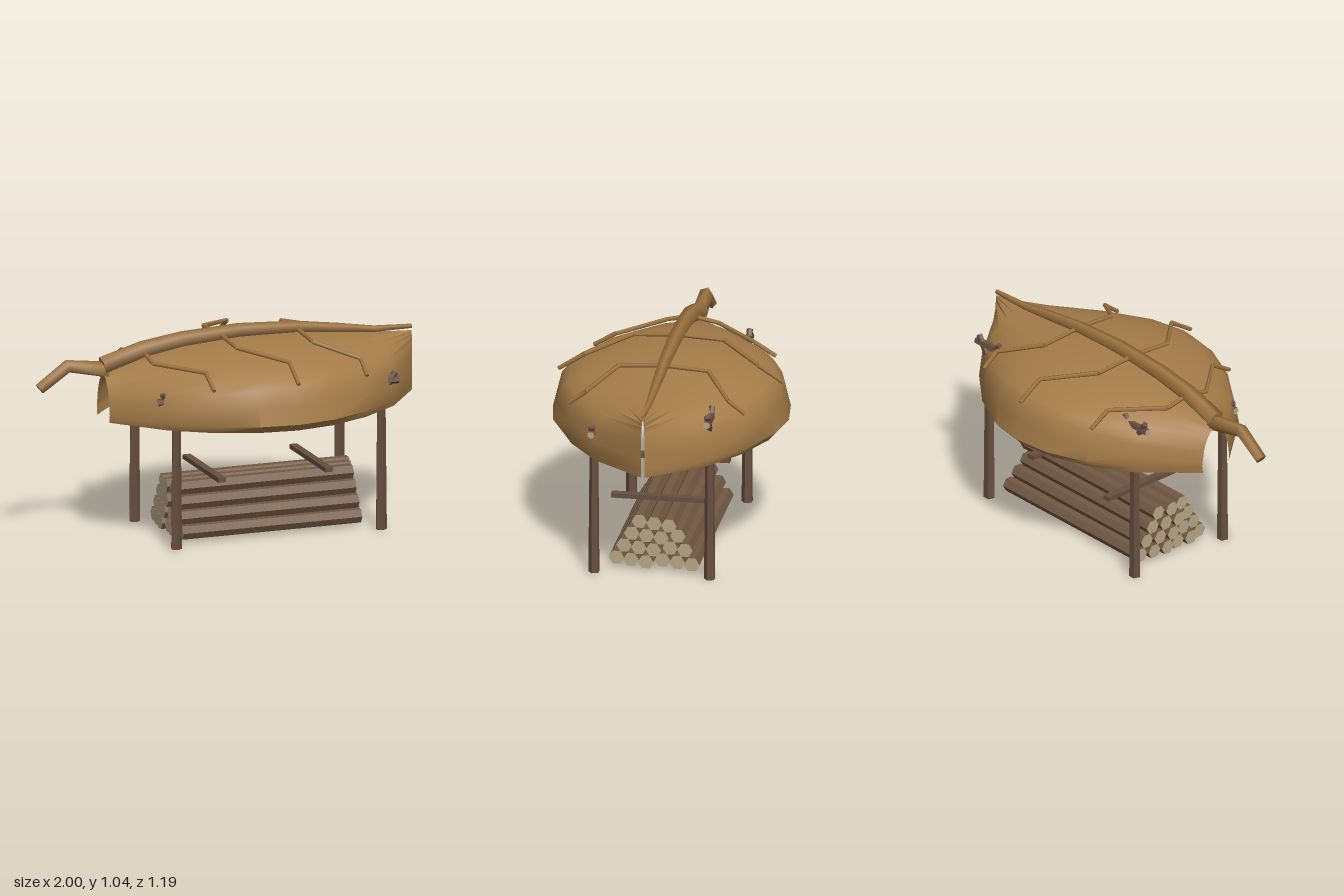
import * as THREE from 'three';
import { toCreasedNormals } from 'three/addons/utils/BufferGeometryUtils.js';

const flat = (name, color, extra = {}) => {
  const m = new THREE.MeshStandardMaterial({ color, ...extra });
  m.name = name;
  return m;
};

export function createModel() {
  const root = new THREE.Group();
  root.name = 'leafRoofedWoodStore';
  const leaf = flat('leaf brown', 0xa57c49, { side: THREE.DoubleSide });
  const vein = flat('vein brown', 0x9f7541);
  const post = flat('post brown', 0x674f40, { flatShading: true });
  const bark = flat('bark brown', 0x725944, { flatShading: true });
  const cut = flat('cut wood', 0xb8a685, { flatShading: true });

  const add = (name, geo, mat, parent = root) => {
    const m = new THREE.Mesh(geo, mat);
    m.name = name;
    parent.add(m);
    return m;
  };

  // Straight five-sided rod between two points
  const rod = (name, a, b, r0, r1, mats, parent = root, turn = 0) => {
    const p = new THREE.Vector3(...a), q = new THREE.Vector3(...b);
    const d = q.clone().sub(p);
    const m = add(name, new THREE.CylinderGeometry(r1, r0, d.length(), 5, 1, false, turn), mats, parent);
    m.position.copy(p).add(q).multiplyScalar(0.5);
    m.quaternion.setFromUnitVectors(new THREE.Vector3(0, 1, 0), d.normalize());
    return m;
  };

  // Tapered five-sided rib along x from rings [x, y, radius, tilt]
  const rib = (name, rings, mat) => {
    const last = rings.length - 1;
    const geo = new THREE.CylinderGeometry(1, 1, 1, 5, last, false, Math.PI).rotateZ(Math.PI / 2);
    const p = geo.attributes.position;
    for (let i = 0; i < p.count; i++) {
      const [x, y, r, tilt = 0] = rings[Math.round((p.getX(i) + 0.5) * last)];
      const h = p.getY(i) * r;
      p.setXYZ(i, x - h * Math.sin(tilt), y + h * Math.cos(tilt), p.getZ(i) * r);
    }
    return add(name, toCreasedNormals(geo, 1.35), mat);
  };

  // Leaf canopy: stations [x, half width, ridge height]
  const stations = [
    [-0.64, 0.09, 0.848], [-0.42, 0.35, 0.914], [-0.22, 0.49, 0.953], [-0.02, 0.57, 0.974], [0.18, 0.595, 0.981],
    [0.38, 0.56, 0.972], [0.59, 0.46, 0.95], [0.8, 0.295, 0.925], [1, 0.01, 0.925],
  ];
  const half = (w, h) => [
    [0.18 * w, h - 0.003], [0.37 * w, h - 0.014], [0.56 * w, h - 0.036], [0.74 * w, h - 0.07],
    [0.86 * w, h - 0.105], [0.925 * w, h - 0.14], [0.963 * w, (h + 0.52) / 2], [w, 0.66], [0.94 * w, 0.622],
  ];
  const verts = [], index = [];
  stations.forEach(([x, w, h]) => {
    const side = half(w, h);
    const section = [...side.map(([z, y]) => [-z, y]).reverse(), [0, h], ...side];
    section.forEach(([z, y]) => verts.push(x, y, z));
  });
  const n = verts.length / 3 / stations.length;
  for (let s = 0; s < stations.length - 1; s++) {
    for (let j = 0; j < n - 1; j++) {
      const a = s * n + j, b = a + n;
      index.push(a, a + 1, b, a + 1, b + 1, b);
    }
  }
  const shell = new THREE.BufferGeometry();
  shell.setAttribute('position', new THREE.Float32BufferAttribute(verts, 3));
  shell.setIndex(index);
  add('leafCanopy', toCreasedNormals(shell, 0.85), leaf);

  // Midrib and bent stem
  rib('midrib', [
    [-0.645, 0.893, 0.047, 0.25], [-0.43, 0.957, 0.045, 0.2], [-0.22, 0.99, 0.042, 0.1], [0.08, 1.008, 0.038],
    [0.38, 0.998, 0.032, -0.1], [0.6, 0.973, 0.026, -0.12], [0.8, 0.948, 0.018, -0.08], [1, 0.945, 0.012],
  ], vein);
  rib('stem', [[-0.978, 0.805, 0.03, 0.66], [-0.83, 0.908, 0.035, 0.22], [-0.62, 0.872, 0.042, -0.18]], vein);

  // Side veins, mirrored across the midrib
  const veins = [
    [[-0.425, 0.945, 0], [-0.425, 0.918, 0.13], [-0.225, 0.904, 0.35], [-0.225, 0.838, 0.46]],
    [[-0.02, 1.0, 0], [-0.02, 0.986, 0.23], [0.185, 0.943, 0.44], [0.185, 0.86, 0.567]],
    [[0.39, 0.99, 0], [0.39, 0.975, 0.225], [0.595, 0.903, 0.36], [0.595, 0.838, 0.445]],
  ];
  for (const s of [1, -1]) {
    for (const path of veins) {
      const g = new THREE.Group();
      g.name = 'sideVein';
      root.add(g);
      const pts = path.map(([x, y, z]) => [x, y, s * z]);
      for (let i = 0; i < 3; i++) rod('veinSegment', pts[i], pts[i + 1], 0.012, 0.011, vein, g);
    }
  }

  // Forked posts carrying one beam on each side
  const wood = [post, cut, cut];
  for (const [z, top] of [[0.293, 0.7], [-0.291, 0.79]]) {
    for (const x of [-0.364, 0.726]) {
      rod('post', [x, 0, z], [x, top, z], 0.0295, 0.0225, post);
      for (const s of [1, -1]) {
        rod('forkProng', [x, top - 0.015, z], [x + s * 0.075, top + 0.1, z], 0.019, 0.016, post);
      }
    }
    rod('roofBeam', [-0.46, top + 0.06, z], [0.82, top + 0.06, z], 0.02, 0.02, wood, root, Math.PI / 2);
  }

  // Stacked logs, one fewer in each row, the outer ones a little shorter
  const stack = new THREE.Group();
  stack.name = 'logStack';
  root.add(stack);
  const logGeo = new THREE.CylinderGeometry(0.039, 0.039, 1, 6).rotateZ(Math.PI / 2);
  for (let row = 0; row < 4; row++) {
    const count = 6 - row;
    for (let i = 0; i < count; i++) {
      const outer = i === 0 || i === count - 1;
      const start = outer ? -0.3 : -0.325 + (i % 2) * 0.012;
      const end = 0.69 - ((i + row) % 3) * 0.02;
      const log = add('log', logGeo, [bark, cut, cut], stack);
      log.scale.x = end - start;
      log.position.set((start + end) / 2, 0.054 + row * 0.066, (i - (count - 1) / 2) * 0.0775);
    }
  }

  // Cross bars above the stack
  for (const x of [-0.102, 0.466]) {
    add('crossBar', new THREE.BoxGeometry(0.04, 0.023, 0.5), post).position.set(x, 0.317, 0);
  }
  return root;
}
